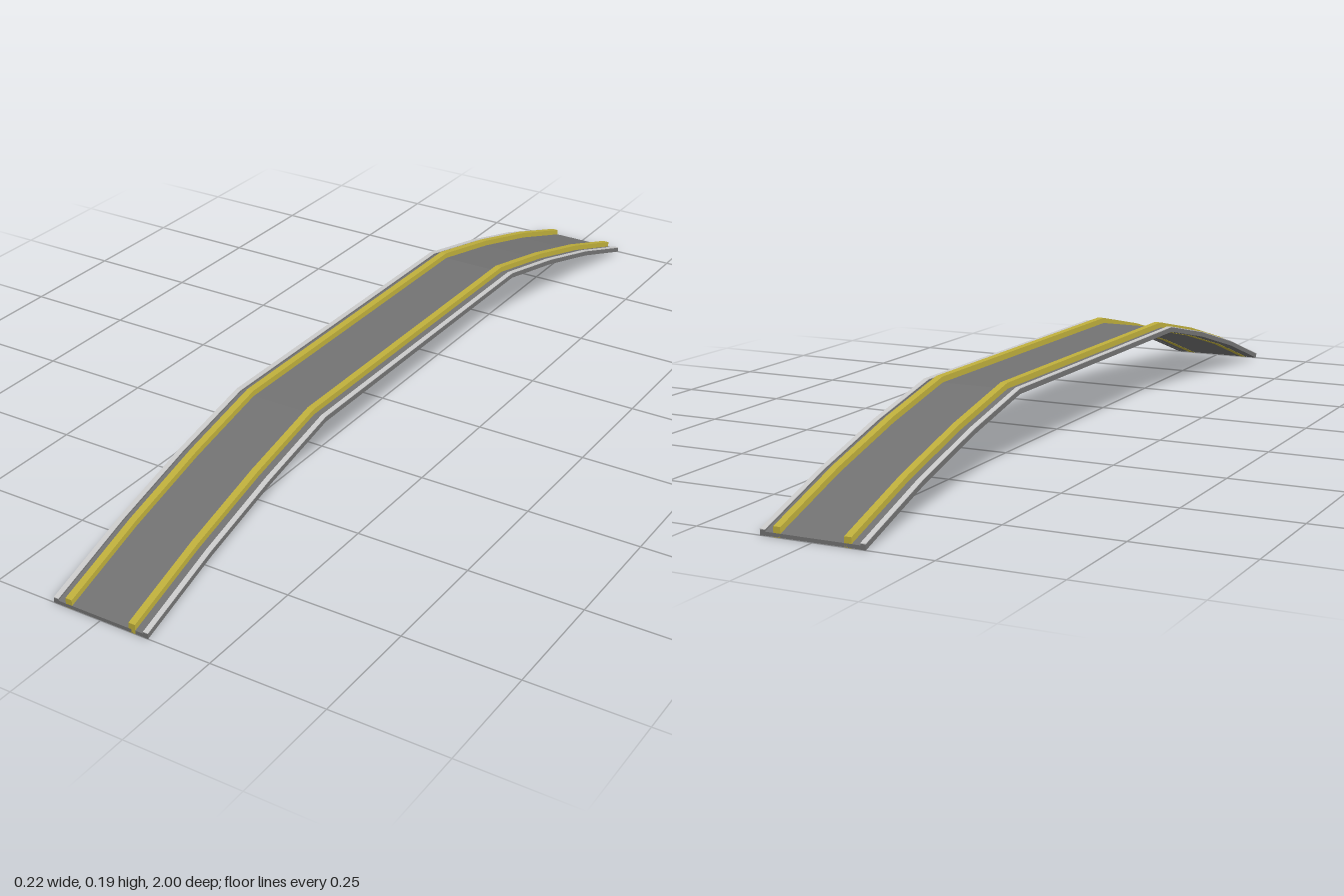
import * as THREE from 'three';

// Arched centre line as [z, height above the ends]
const HALF = [[1, 0], [0.8, 0.067], [0.6, 0.122], [0.4, 0.166]];
const PATH = [...HALF, ...HALF.map(([z, y]) => [-z, y]).reverse()];

const ASPHALT = new THREE.MeshStandardMaterial({ color: 0x737373 });
const CONCRETE = new THREE.MeshStandardMaterial({ color: 0xcccccc });
const YELLOW = new THREE.MeshStandardMaterial({ color: 0xc0b03c });

// A band following the arch, between two heights and centred on x
function band(name, x, width, bottom, top, material) {
  const upper = PATH.map(([z, y]) => new THREE.Vector2(z, y + top));
  const lower = PATH.map(([z, y]) => new THREE.Vector2(z, y + bottom)).reverse();
  const geometry = new THREE.ExtrudeGeometry(new THREE.Shape([...upper, ...lower]), {
    depth: width,
    bevelEnabled: false,
  });
  geometry.translate(0, 0, -width / 2);
  geometry.rotateY(-Math.PI / 2);
  geometry.translate(x, 0, 0);
  const mesh = new THREE.Mesh(geometry, material);
  mesh.name = name;
  return mesh;
}

export function createModel() {
  const bridge = new THREE.Group();
  bridge.name = 'archedRoad';

  // Road deck
  bridge.add(band('deck', 0, 0.2, 0.0005, 0.008, ASPHALT));

  // Kerbs with pale caps, and yellow guide rails standing on the deck
  for (const [side, s] of [['left', 1], ['right', -1]]) {
    bridge.add(band(`${side}Kerb`, s * 0.1055, 0.011, 0, 0.011, ASPHALT));
    bridge.add(band(`${side}KerbCap`, s * 0.1055, 0.011, 0.011, 0.0125, CONCRETE));
    bridge.add(band(`${side}GuideRail`, s * 0.0745, 0.015, 0, 0.0205, YELLOW));
  }
  return bridge;
}
